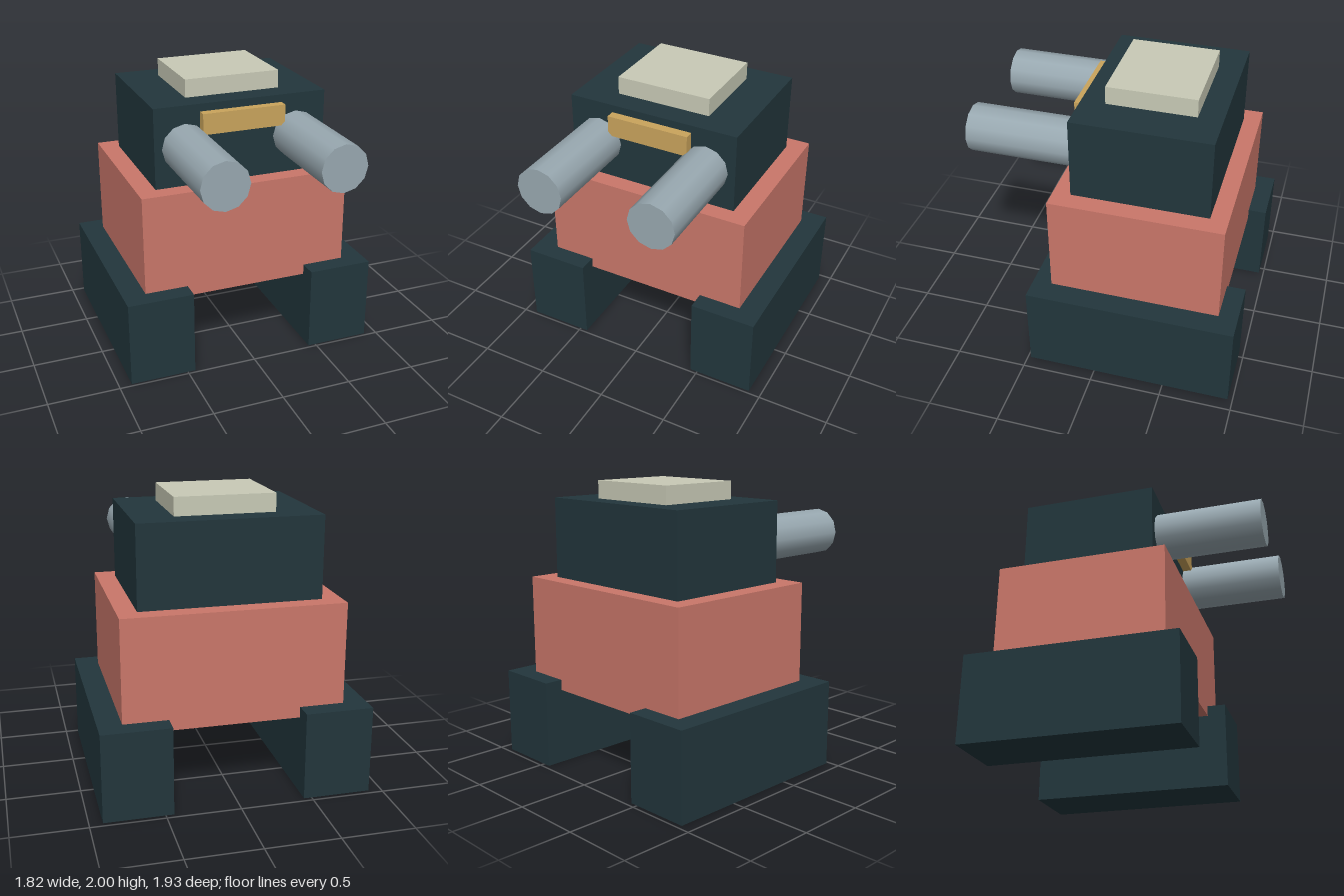
import * as THREE from 'three';

const paint = (name, color) => {
  const m = new THREE.MeshStandardMaterial({ color });
  m.name = name;
  return m;
};

export function createModel() {
  const model = new THREE.Group();
  model.name = 'walker';
  const dark = paint('dark slate', 0x22363c);
  const red = paint('brick red', 0xca776a);
  const cream = paint('pale sage', 0xc8cab6);
  const amber = paint('amber', 0xcaa45c);
  const steel = paint('steel grey', 0x98a8b0);

  // Box given by its extents on each axis
  const box = (name, material, [x0, x1], [y0, y1], [z0, z1]) => {
    const mesh = new THREE.Mesh(new THREE.BoxGeometry(x1 - x0, y1 - y0, z1 - z0), material);
    mesh.position.set((x0 + x1) / 2, (y0 + y1) / 2, (z0 + z1) / 2);
    mesh.name = name;
    model.add(mesh);
  };

  // Stacked body
  box('torso', red, [-0.75, 0.75], [0.535, 1.312], [-0.835, 0.347]);
  box('head', dark, [-0.617, 0.617], [1.312, 1.875], [-0.713, 0.225]);
  box('hatch', cream, [-0.34, 0.34], [1.875, 2], [-0.547, 0.06]);
  box('visor', amber, [-0.295, 0.295], [1.677, 1.822], [0.225, 0.288]);

  // Mirrored feet and barrels
  const barrelGeometry = new THREE.CylinderGeometry(0.164, 0.164, 0.742, 12).rotateX(Math.PI / 2);
  for (const [side, s] of [['left', 1], ['right', -1]]) {
    const xs = [s * 0.445, s * 0.911].sort((a, b) => a - b);
    box(side + 'Foot', dark, xs, [0, 0.61], [-0.966, 0.478]);

    const barrel = new THREE.Mesh(barrelGeometry, steel);
    barrel.position.set(s * 0.4, 1.586, 0.595);
    barrel.name = side + 'Barrel';
    model.add(barrel);
  }
  return model;
}
